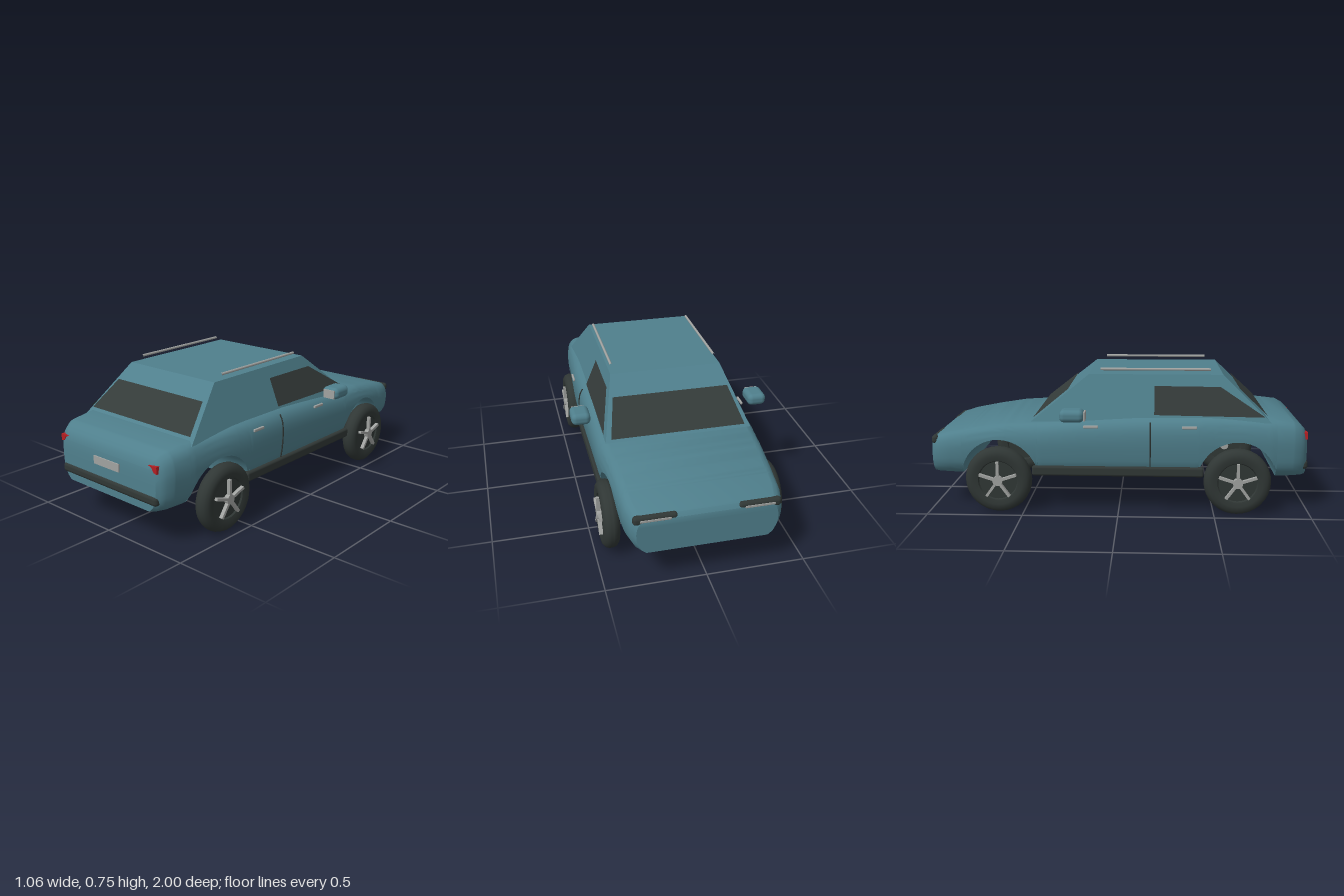
import * as THREE from 'three';
import { toCreasedNormals } from 'three/addons/utils/BufferGeometryUtils.js';
import { RoundedBoxGeometry } from 'three/addons/geometries/RoundedBoxGeometry.js';

const mat = (name, color, side = THREE.FrontSide) => {
  const m = new THREE.MeshStandardMaterial({ color, side });
  m.name = name;
  return m;
};

// Piecewise linear lookup in a list of [position, value]
function lookup(table, v) {
  if (v <= table[0][0]) return table[0][1];
  for (let i = 1; i < table.length; i++) {
    const [a, p] = table[i - 1], [b, q] = table[i];
    if (v <= b) return p + (q - p) * (v - a) / (b - a);
  }
  return table[table.length - 1][1];
}

const TOP = [[-1, 0.37], [-0.985, 0.39], [-0.9, 0.415], [-0.75, 0.443], [-0.6, 0.465], [-0.4, 0.475],
  [-0.2, 0.49], [0.1, 0.505], [0.5, 0.508], [0.78, 0.497], [0.91, 0.485], [0.95, 0.465], [0.975, 0.44], [0.988, 0.405]];
const WIDTH = [[-1, 0.355], [-0.97, 0.378], [-0.9, 0.395], [-0.6, 0.415], [-0.4, 0.43],
  [0.4, 0.43], [0.8, 0.41], [0.92, 0.395], [0.965, 0.372], [0.988, 0.345]];
const UNDERCUT = [[0.19, 0.84], [0.21, 0.91], [0.25, 0.965], [0.3, 0.985], [0.37, 1]];
const SHOULDER = [[0, 0.86], [0.008, 0.91], [0.025, 0.955], [0.06, 0.988], [0.1, 1]];
const AXLES = [0.62, -0.63], ARCH = 0.205, AXLE_Y = 0.18, FLOOR = 0.19;

// Body lofted along z, with the wheel arches cut into its floor line
function bodyGeometry() {
  const zs = [...TOP, ...WIDTH].map(p => p[0]);
  for (const c of AXLES) for (let i = 0; i <= 20; i++) zs.push(c + ARCH * Math.cos(Math.PI * i / 20));
  const stations = [...new Set(zs)].sort((a, b) => a - b);
  const n = 14;
  const rings = stations.map(z => {
    let floor = FLOOR;
    for (const c of AXLES) {
      const h = ARCH * ARCH - (z - c) ** 2;
      if (h > 0) floor = Math.max(floor, AXLE_Y + Math.sqrt(h));
    }
    const top = lookup(TOP, z), right = [];
    for (let i = 0; i <= n; i++) {
      const y = floor + (top - floor) * (0.5 - 0.5 * Math.cos(Math.PI * i / n));
      right.push([lookup(WIDTH, z) * lookup(UNDERCUT, y) * lookup(SHOULDER, top - y), y, z]);
    }
    return [...right, ...right.map(([x, y]) => [-x, y, z]).reverse()];
  });
  const pos = [];
  const quad = (a, b, c, d) => pos.push(...a, ...b, ...c, ...a, ...c, ...d);
  const count = 2 * n + 2;
  for (let s = 0; s < rings.length - 1; s++)
    for (let i = 0; i < count; i++) {
      const j = (i + 1) % count;
      quad(rings[s][i], rings[s][j], rings[s + 1][j], rings[s + 1][i]);
    }
  const nose = rings[0], tail = rings[rings.length - 1];
  for (let i = 0; i < n; i++) {
    const l = count - 1 - i;
    quad(tail[i], tail[i + 1], tail[l - 1], tail[l]);
    quad(nose[l], nose[l - 1], nose[i + 1], nose[i]);
  }
  const g = new THREE.BufferGeometry();
  g.setAttribute('position', new THREE.Float32BufferAttribute(pos, 3));
  return toCreasedNormals(g, 0.6);
}

// Flat quads given as corner lists
function quads(list) {
  const g = new THREE.BufferGeometry();
  const pos = list.flatMap(([a, b, c, d]) => [...a, ...b, ...c, ...a, ...c, ...d]);
  g.setAttribute('position', new THREE.Float32BufferAttribute(pos, 3));
  g.computeVertexNormals();
  return g;
}

export function createModel() {
  const car = new THREE.Group();
  car.name = 'car';
  const paint = mat('paint', 0x4f7f8c);
  const glass = mat('darkGlass', 0x343b39, THREE.DoubleSide);
  const rubber = mat('darkTrim', 0x303735);
  const metal = mat('metal', 0xa0a2a0);
  const red = mat('tailLightRed', 0xb41f22);

  const add = (name, geo, material, x = 0, y = 0, z = 0, parent = car) => {
    const m = new THREE.Mesh(geo, material);
    m.name = name;
    m.position.set(x, y, z);
    parent.add(m);
    return m;
  };

  add('body', bodyGeometry(), paint);

  // Cabin: tapered block with a flat roof
  const r = [[0.3, 0.72, 0.545], [0.3, 0.72, -0.16], [-0.3, 0.72, -0.16], [-0.3, 0.72, 0.545]];
  const b = [[0.385, 0.48, 0.795], [0.385, 0.48, -0.46], [-0.385, 0.48, -0.46], [-0.385, 0.48, 0.795]];
  const cabin = [[r[0], r[1], r[2], r[3]]];
  for (let i = 0; i < 4; i++) {
    const j = (i + 1) % 4;
    cabin.push([b[i], b[j], r[j], r[i]]);
  }
  add('cabin', quads(cabin), paint);

  // Windows: thin panes just off the cabin
  add('rearWindow', quads([[[-0.355, 0.515, 0.774], [0.355, 0.515, 0.774], [0.305, 0.645, 0.634], [-0.305, 0.645, 0.634]]]), glass);
  add('windscreen', quads([[[0.355, 0.495, -0.453], [-0.355, 0.495, -0.453], [-0.31, 0.64, -0.272], [0.31, 0.64, -0.272]]]), glass);
  const pane = (x, z0, zTop, zLow) => quads([[[x * 0.387, 0.52, z0], [x * 0.39, 0.512, zLow],
    [x * 0.327, 0.66, zTop], [x * 0.327, 0.663, z0]]]);
  add('sideWindowFront', pane(1, 0.152, -0.185, -0.425), glass);
  add('sideWindowRear', pane(-1, 0.185, 0.53, 0.76), glass);

  // Wheel shapes, turned about the axle
  const tyreProfile = [[0, -0.028], [0.1, -0.028], [0.105, -0.036], [0.13, -0.042], [0.152, -0.039], [0.168, -0.026],
    [0.175, -0.008], [0.175, 0.008], [0.168, 0.026], [0.152, 0.039], [0.13, 0.042], [0.105, 0.036], [0.1, 0.028], [0, 0.028]];
  const tyre = toCreasedNormals(new THREE.LatheGeometry(tyreProfile.map(p => new THREE.Vector2(...p)), 32).toNonIndexed(), 0.7);
  const spoke = new THREE.BoxGeometry(0.095, 0.02, 0.014);
  const hub = new THREE.CylinderGeometry(0.026, 0.026, 0.025, 12);

  for (const side of [1, -1]) {
    const label = side > 0 ? 'left' : 'right';
    for (const z of AXLES) {
      const wheel = new THREE.Group();
      wheel.name = label + (z > 0 ? 'RearWheel' : 'FrontWheel');
      wheel.position.set(side * 0.42, 0.178, z);
      wheel.rotation.z = -side * Math.PI / 2;
      add('tyre', tyre, rubber, 0, 0, 0, wheel);
      add('hub', hub, metal, 0, 0.04, 0, wheel);
      add('innerHub', hub, metal, 0, -0.04, 0, wheel);
      for (let i = 0; i < 5; i++) {
        const a = (side > 0 ? Math.PI : 0) + i * Math.PI * 0.4;
        add('spoke', spoke, metal, 0.055 * Math.cos(a), 0.042, -0.055 * Math.sin(a), wheel).rotation.y = a;
      }
      car.add(wheel);
    }

    // Sill, door seam and handles
    add(label + 'Sill', new RoundedBoxGeometry(0.04, 0.052, 0.9, 2, 0.012), rubber, side * 0.412, 0.224, -0.005);
    const seam = [[0.25, 0.418], [0.3, 0.426], [0.37, 0.431], [0.42, 0.43], [0.455, 0.424], [0.485, 0.408]]
      .map(([y, x]) => new THREE.Vector3(side * x, y, 0.165));
    add(label + 'DoorSeam', new THREE.TubeGeometry(new THREE.CatmullRomCurve3(seam), 12, 0.004, 5), rubber);
    for (const z of [0.367, -0.142])
      add(label + 'DoorHandle', new RoundedBoxGeometry(0.012, 0.016, 0.078, 2, 0.005), metal, side * 0.434, 0.464, z);

    // Mirror
    add(label + 'Mirror', new RoundedBoxGeometry(0.1, 0.064, 0.125, 4, 0.026), paint, side * 0.481, 0.535, -0.233);
    add(label + 'MirrorGlass', new THREE.BoxGeometry(0.068, 0.046, 0.008), metal, side * 0.483, 0.533, -0.169);

    // Open roof rail
    const rail = new THREE.CylinderGeometry(0.007, 0.007, 0.58, 10, 1, true);
    add(label + 'RoofRail', rail, metal, side * 0.285, 0.745, 0.19).rotation.x = Math.PI / 2;

    // Headlight: dark housing with a slim lens
    add(label + 'Headlight', new RoundedBoxGeometry(0.215, 0.046, 0.036, 3, 0.017), rubber, side * 0.253, 0.37, -0.982);
    add(label + 'HeadlightLens', new RoundedBoxGeometry(0.15, 0.014, 0.008, 2, 0.003), metal, side * 0.253, 0.37, -0.998);

    // Hooked tail light
    const hook = new THREE.Shape([[0.295, 0.424], [0.315, 0.416], [0.33, 0.394], [0.35, 0.39], [0.348, 0.426], [0.335, 0.427]]
      .map(([x, y]) => new THREE.Vector2(side * x, y)));
    add(label + 'TailLight', new THREE.ExtrudeGeometry(hook, { depth: 0.035, bevelEnabled: false }), red, 0, 0, 0.953);
  }

  // Rear bumper and blank plate
  add('rearBumper', new RoundedBoxGeometry(0.69, 0.05, 0.05, 3, 0.018), rubber, 0, 0.25, 0.972);
  add('rearPlate', new THREE.BoxGeometry(0.184, 0.042, 0.009), metal, 0, 0.354, 0.99);
  return car;
}
